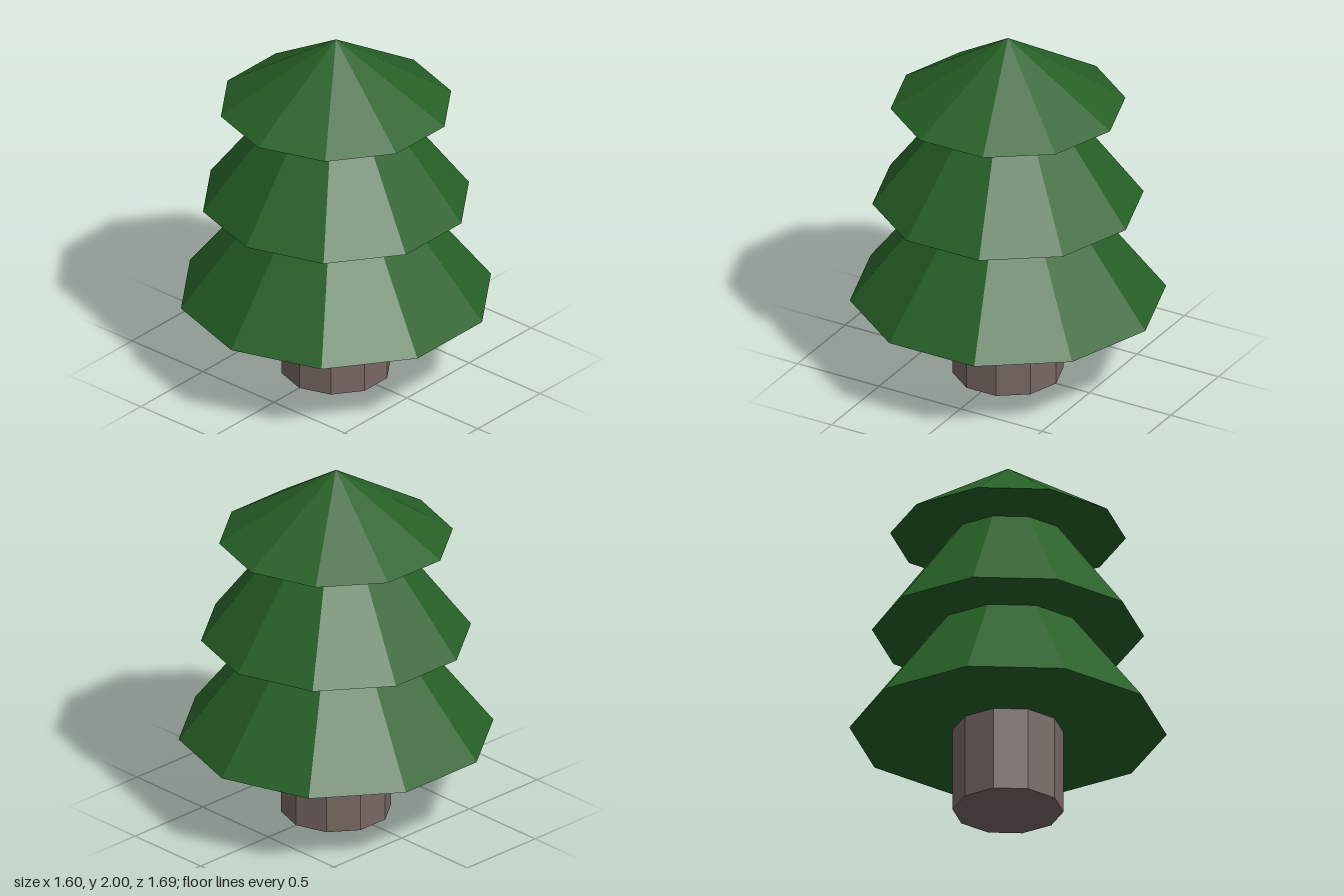
import * as THREE from 'three';

const SIDES = 10;

// Faceted solid of revolution with a corner pointing to the front
function facetedMesh(name, profile, material) {
  const points = profile.map(([r, y]) => new THREE.Vector2(r, y));
  const geometry = new THREE.LatheGeometry(points, SIDES).toNonIndexed();
  geometry.computeVertexNormals();
  const mesh = new THREE.Mesh(geometry, material);
  mesh.name = name;
  return mesh;
}

export function createModel() {
  const foliageGreen = new THREE.MeshStandardMaterial({ color: 0x266026 });
  foliageGreen.name = 'foliageGreen';
  const barkBrown = new THREE.MeshStandardMaterial({ color: 0x776762 });
  barkBrown.name = 'barkBrown';

  const tree = new THREE.Group();
  tree.name = 'pineTree';

  // Trunk, closed at the ground and open where it meets the foliage
  tree.add(facetedMesh('trunk', [[0, 0], [0.295, 0], [0.295, 0.465]], barkBrown));

  // Three stacked tiers; each underside dips slightly towards the tier below
  tree.add(facetedMesh('lowerBranches', [[0.295, 0.465], [0.843, 0.465], [0.41, 1.022]], foliageGreen));
  tree.add(facetedMesh('middleBranches', [[0.41, 1.022], [0.723, 1.04], [0.312, 1.583]], foliageGreen));
  tree.add(facetedMesh('topBranches', [[0.312, 1.583], [0.626, 1.608], [0, 2]], foliageGreen));

  return tree;
}
